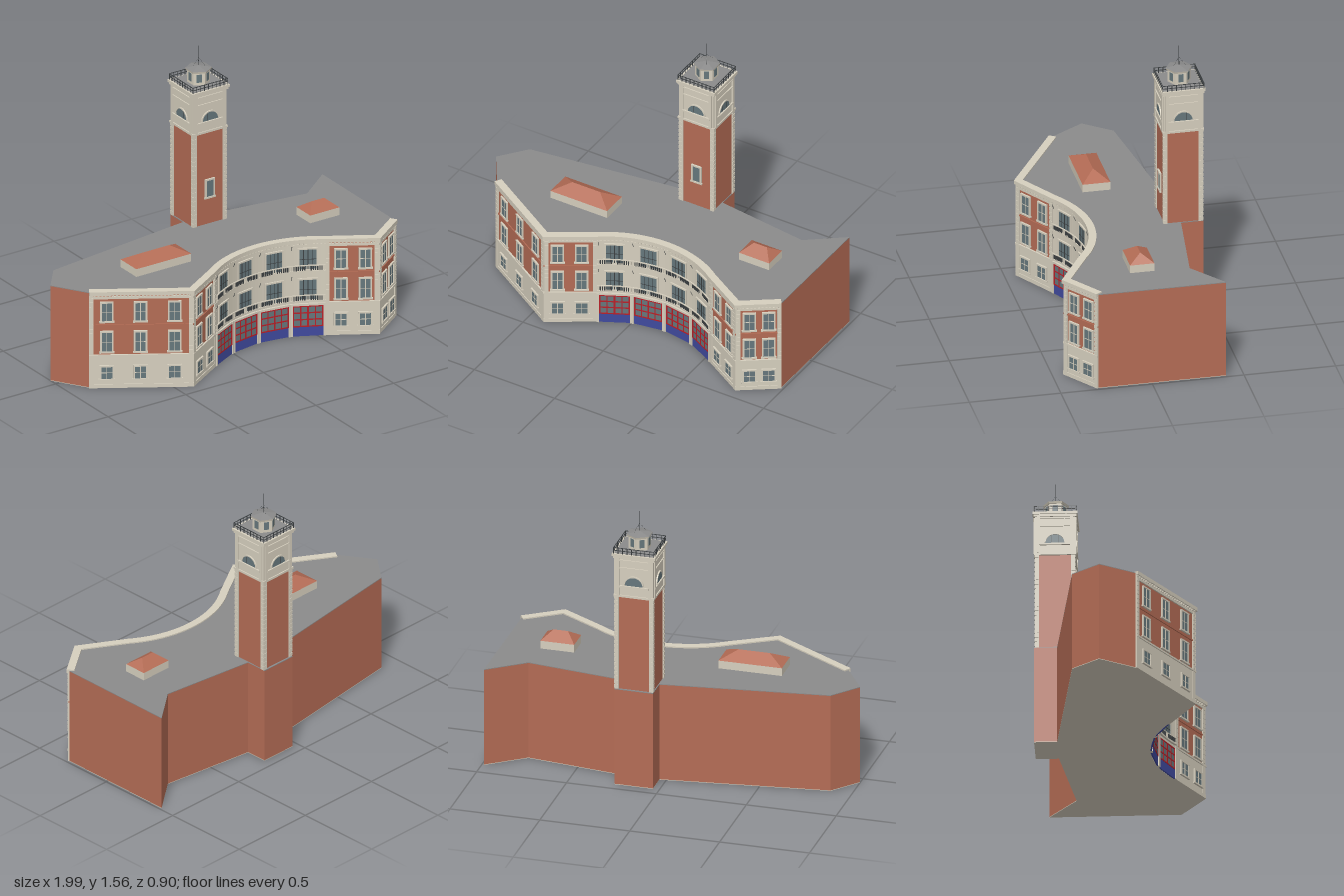
import * as THREE from 'three';

const material = (name, color) => Object.assign(new THREE.MeshStandardMaterial({ color }), { name });
const brick = material('brick', 0xb46c55);
const stone = material('stone', 0xd6cfbe);
const slate = material('roof grey', 0x8b8b8b);
const glass = material('window glass', 0x66777c);
const iron = material('dark iron', 0x3c4042);
const red = material('door red', 0xb82028);
const blue = material('door blue', 0x404a9e);

const WALL_TOP = 0.556;
const ARC = { x: 0.187, z: 0.775, r: 0.605, half: Math.PI / 5 };

function add(parent, name, geometry, mat, x = 0, y = 0, z = 0) {
  const mesh = new THREE.Mesh(geometry, mat);
  mesh.name = name;
  mesh.position.set(x, y, z);
  parent.add(mesh);
  return mesh;
}

// Box given by its horizontal centre and bottom/top heights
const box = (parent, name, mat, w, y0, y1, d, x, z) =>
  add(parent, name, new THREE.BoxGeometry(w, y1 - y0, d), mat, x, (y0 + y1) / 2, z);

// Upright prism over a plan outline of [x, z] points
function prism(parent, name, mat, outline, y0, y1) {
  const shape = new THREE.Shape(outline.map(([x, z]) => new THREE.Vector2(x, -z)));
  const geo = new THREE.ExtrudeGeometry(shape, { depth: y1 - y0, bevelEnabled: false });
  return add(parent, name, geo.rotateX(-Math.PI / 2), mat, 0, y0, 0);
}

// Mitred sideways offset of a plan path (positive is outward)
function offset(path, dist) {
  const normal = (a, b) => {
    const dx = b[0] - a[0], dz = b[1] - a[1], l = Math.hypot(dx, dz);
    return [-dz / l, dx / l];
  };
  return path.map((p, i) => {
    const n = normal(path[Math.max(i - 1, 0)], path[Math.max(i, 1)]);
    const m = i < path.length - 1 ? normal(p, path[i + 1]) : n;
    const k = dist / (1 + n[0] * m[0] + n[1] * m[1]);
    return [p[0] + (n[0] + m[0]) * k, p[1] + (n[1] + m[1]) * k];
  });
}

const band = (parent, name, mat, path, inner, outer, y0, y1) =>
  prism(parent, name, mat, [...offset(path, inner), ...offset(path, outer).reverse()], y0, y1);

const arcPoint = (a, out = 0) => [ARC.x + (ARC.r - out) * Math.sin(a), ARC.z - (ARC.r - out) * Math.cos(a)];

// Group whose x runs along the wall from p to q and whose z points outward
function wallFrame(parent, name, p, q) {
  const g = new THREE.Group();
  g.name = name;
  g.position.set(p[0], 0, p[1]);
  g.rotation.y = Math.atan2(p[1] - q[1], q[0] - p[0]);
  g.userData.length = Math.hypot(q[0] - p[0], q[1] - p[1]);
  parent.add(g);
  return g;
}

// Sash window: glass, stone surround, sill and glazing bars
function sash(parent, x, y0, y1, w, z, cols, rows, bar = stone) {
  const f = 0.009;
  box(parent, 'windowGlass', glass, w, y0, y1, 0.004, x, z + 0.003);
  for (const s of [-1, 1]) box(parent, 'windowJamb', stone, f, y0, y1, 0.01, x + s * (w + f) / 2, z + 0.004);
  box(parent, 'windowHead', stone, w + 2 * f, y1, y1 + f, 0.012, x, z + 0.004);
  box(parent, 'windowSill', stone, w + 3 * f, y0 - f, y0, 0.014, x, z + 0.004);
  for (let i = 1; i < cols; i++)
    box(parent, 'windowMullion', bar, 0.004, y0, y1, 0.005, x + w * (i / cols - 0.5), z + 0.004);
  for (let i = 1; i < rows; i++) {
    const y = y0 + (y1 - y0) * i / rows;
    box(parent, 'glazingBar', bar, w, y - 0.0015, y + 0.0015, 0.005, x, z + 0.004);
  }
}

function dentils(g, length, z) {
  const n = Math.round(length / 0.02);
  for (let i = 0; i < n; i++) box(g, 'dentil', stone, 0.009, 0.536, 0.546, 0.012, (i + 0.5) * length / n, z);
}

// Brick wing front with stone corner piers and three floors of windows
function wing(parent, name, p, q, spots) {
  const g = wallFrame(parent, name, p, q), L = g.userData.length;
  for (const x of [0.011, L - 0.011]) {
    box(g, 'cornerPier', stone, 0.022, 0, 0.545, 0.014, x, 0.001);
    for (let y = 0.2; y < 0.52; y += 0.026)
      box(g, 'quoin', stone, 0.02, y, y + 0.018, 0.014, x, 0.003);
  }
  for (const t of spots) {
    sash(g, t * L, 0.055, 0.125, 0.06, 0.004, 2, 2);
    sash(g, t * L, 0.213, 0.325, 0.054, 0, 2, 2);
    sash(g, t * L, 0.392, 0.497, 0.054, 0, 2, 2);
  }
  dentils(g, L, 0.006);
}

// One bay of the curved front: vehicle door below, two window floors above
function bay(parent, a0, a1) {
  const g = wallFrame(parent, 'curvedBay', arcPoint(a0), arcPoint(a1));
  const L = g.userData.length, mid = L / 2, w = 0.166;
  box(g, 'doorPanel', blue, w, 0, 0.058, 0.008, mid, 0.002);
  box(g, 'doorGlass', glass, w, 0.058, 0.178, 0.008, mid, 0.002);
  for (let i = 0; i <= 4; i++)
    box(g, 'doorUpright', red, i % 2 ? 0.006 : 0.009, 0.055, 0.178, 0.006, mid + (i / 4 - 0.5) * (w - 0.008), 0.005);
  for (const y of [0.054, 0.094, 0.133, 0.171]) box(g, 'doorRail', red, w, y, y + 0.007, 0.006, mid, 0.005);
  box(g, 'doorLintel', stone, L, 0.178, 0.19, 0.012, mid, 0.003);
  for (const x of [0.006, L - 0.006]) box(g, 'doorPier', stone, 0.012, 0, 0.19, 0.016, x, 0.004);
  for (const y of [0.212, 0.39]) {
    sash(g, mid, y, y + 0.116, 0.092, -0.005, 4, 2, iron);
    const pole = add(g, 'flagpole', new THREE.CylinderGeometry(0.0015, 0.0015, 0.03, 5), iron, L * 0.04, y + 0.128, 0.009);
    pole.rotation.x = 0.4;
  }
  dentils(g, L, 0.001);
}

// Shallow curved balcony with railing, following the concave front
function balcony(parent, curve, y) {
  band(parent, 'balconyFloor', stone, curve, -0.005, 0.016, y, y + 0.01);
  band(parent, 'balconyRail', stone, curve, 0.009, 0.015, y + 0.036, y + 0.041);
  for (let i = 0; i < 64; i++) {
    const a = ARC.half * ((i + 0.5) / 32 - 1), [x, z] = arcPoint(a, 0.012);
    const post = i % 8 === 0 || i % 8 === 7;
    box(parent, 'baluster', post ? stone : iron, 0.006, y + 0.01, y + 0.036, 0.005, x, z).rotation.y = -a;
  }
}

// Small roof house with a hipped tile roof
function roofHouse(parent, x0, x1, z0, z1, inset) {
  const g = new THREE.Group(), zm = (z0 + z1) / 2, y = 0.605, top = 0.65;
  g.name = 'roofHouse';
  parent.add(g);
  box(g, 'roofHouseWalls', stone, x1 - x0, 0.55, y, z1 - z0, (x0 + x1) / 2, zm);
  const a = [x0, y, z1], b = [x1, y, z1], c = [x1, y, z0], d = [x0, y, z0];
  const r = [x0 + inset, top, zm], s = [x1 - inset, top, zm];
  const geo = new THREE.BufferGeometry();
  const tris = [a, b, s, a, s, r, b, c, s, c, d, r, c, r, s, d, a, r];
  geo.setAttribute('position', new THREE.Float32BufferAttribute(tris.flat(), 3));
  geo.computeVertexNormals();
  add(g, 'hippedRoof', geo, brick);
}

function tower(parent) {
  const t = new THREE.Group();
  t.name = 'tower';
  t.position.set(0.143, 0, -0.332);
  parent.add(t);
  box(t, 'towerShaft', brick, 0.204, 0.5, 1.11, 0.204, 0, 0);
  box(t, 'belfry', stone, 0.214, 1.1, 1.34, 0.214, 0, 0);
  box(t, 'belfryBase', stone, 0.226, 1.1, 1.112, 0.226, 0, 0);
  box(t, 'towerCornice', stone, 0.228, 1.325, 1.338, 0.228, 0, 0);
  box(t, 'towerCorniceTop', stone, 0.24, 1.338, 1.352, 0.24, 0, 0);
  box(t, 'platform', slate, 0.216, 1.352, 1.356, 0.216, 0, 0);
  for (const sx of [-1, 1]) for (const sz of [-1, 1]) {
    box(t, 'towerCorner', stone, 0.023, 0.558, 1.33, 0.023, sx * 0.096, sz * 0.096);
    for (let y = 0.565; y < 1.09; y += 0.026)
      box(t, 'towerQuoin', stone, 0.021, y, y + 0.018, 0.021, sx * 0.099, sz * 0.099);
  }

  // Four belfry faces with arched lights and platform railing
  const arch = new THREE.Shape().absarc(0, 0, 0.05, 0, Math.PI, false);
  const ring = new THREE.Shape().absarc(0, 0, 0.057, 0, Math.PI, false);
  ring.absarc(0, 0, 0.05, Math.PI, 0, true);
  const plate = (shape, depth) => new THREE.ExtrudeGeometry(shape, { depth, bevelEnabled: false, curveSegments: 16 });
  for (let i = 0; i < 4; i++) {
    const f = new THREE.Group();
    f.name = 'belfryFace';
    f.rotation.y = i * Math.PI / 2;
    t.add(f);
    add(f, 'archGlass', plate(arch, 0.004), glass, 0, 1.17, 0.106);
    add(f, 'archTrim', plate(ring, 0.008), stone, 0, 1.17, 0.106);
    for (const x of [-0.018, 0.018]) box(f, 'archBar', iron, 0.002, 1.17, 1.216, 0.003, x, 0.109);
    box(f, 'archSill', stone, 0.17, 1.158, 1.168, 0.012, 0, 0.11);
    for (const y of [1.268, 1.312]) box(f, 'belfryBand', stone, 0.17, y, y + 0.006, 0.008, 0, 0.109);
    for (const s of [-1, 1]) box(f, 'belfryPilaster', stone, 0.016, 1.112, 1.325, 0.01, s * 0.088, 0.109);
    for (let k = 0; k < 10; k++) box(f, 'railingPost', iron, 0.003, 1.352, 1.386, 0.003, (k / 9 - 0.5) * 0.224, 0.112);
    for (const y of [1.368, 1.384]) box(f, 'railing', iron, 0.226, y, y + 0.003, 0.003, 0, 0.112);
  }
  sash(t, 0, 0.72, 0.815, 0.044, 0.102, 1, 1);

  // Six-sided lantern with shallow roof and mast
  const hex = (name, mat, r0, r1, y0, y1) =>
    add(t, name, new THREE.CylinderGeometry(r1, r0, y1 - y0, 6).toNonIndexed(), mat, 0, (y0 + y1) / 2, 0).geometry.computeVertexNormals();
  hex('lantern', stone, 0.062, 0.062, 1.354, 1.43);
  hex('lanternEaves', stone, 0.068, 0.072, 1.426, 1.437);
  hex('lanternRoof', slate, 0.072, 0.006, 1.437, 1.45);
  for (let i = 0; i < 6; i++) {
    const f = new THREE.Group();
    f.name = 'lanternFace';
    f.rotation.y = (i + 0.5) * Math.PI / 3;
    t.add(f);
    box(f, 'lanternWindow', glass, 0.028, 1.372, 1.418, 0.004, 0, 0.0537);
    if (i % 2) continue;
    const wire = add(f, 'mastStay', new THREE.CylinderGeometry(0.0005, 0.0005, 0.06, 3), iron, 0, 1.474, 0.02);
    wire.rotation.x = -0.73;
  }
  add(t, 'mast', new THREE.CylinderGeometry(0.0012, 0.002, 0.118, 6), iron, 0, 1.505, 0);
}

export function createModel() {
  const model = new THREE.Group();
  model.name = 'fireStation';

  // Plan: two angled wings either side of a concave curved front
  const leftEnd = [-0.879, 0.14], leftTip = [-0.408, 0.431], rightTip = [0.787, 0.431], rightEnd = [0.985, 0.292];
  const curve = Array.from({ length: 33 }, (_, i) => arcPoint(ARC.half * (i / 16 - 1)));
  const arcStart = curve[0], arcEnd = curve[32];
  const front = [leftEnd, leftTip, ...curve, rightTip, rightEnd];
  const plan = [[-1, -0.05], [-0.88, -0.2], [0.036, -0.32], [0.036, -0.444], [0.249, -0.444], [0.249, -0.32],
    [0.785, -0.25], [0.988, -0.405], ...[...front].reverse()];
  prism(model, 'brickBody', brick, plan, 0.003, WALL_TOP);
  prism(model, 'flatRoof', slate, plan, WALL_TOP, 0.56);
  prism(model, 'floor', stone, plan, 0, 0.003);

  // Stone base, string courses and cornice follow the front
  for (const side of [[leftEnd, leftTip, arcStart], [arcEnd, rightTip, rightEnd]]) {
    band(model, 'stoneBase', stone, side, -0.005, 0.004, 0, 0.185);
    band(model, 'plinth', stone, side, -0.005, 0.008, 0, 0.022);
    band(model, 'stringCourse', stone, side, -0.005, 0.01, 0.185, 0.195);
    band(model, 'upperStringCourse', brick, side, -0.005, 0.006, 0.362, 0.37);
  }
  band(model, 'curvedStoneWall', stone, curve, -0.005, 0.003, 0, 0.55);
  band(model, 'frieze', stone, front, -0.005, 0.007, 0.522, 0.536);
  band(model, 'cornice', stone, front, -0.027, 0.015, 0.546, 0.567);
  for (const y of [0.2, 0.375]) balcony(model, curve, y);

  wing(model, 'leftLongWing', leftEnd, leftTip, [0.17, 0.495, 0.825]);
  wing(model, 'leftInnerWing', leftTip, arcStart, [0.25, 0.71]);
  wing(model, 'rightInnerWing', arcEnd, rightTip, [0.29, 0.75]);
  wing(model, 'rightOuterWing', rightTip, rightEnd, [0.29, 0.72]);
  for (let i = 0; i < 4; i++) bay(model, ARC.half * (i / 2 - 1), ARC.half * ((i + 1) / 2 - 1));

  roofHouse(model, -0.56, -0.207, -0.035, 0.117, 0.09);
  roofHouse(model, 0.588, 0.776, -0.06, 0.073, 0.054);
  tower(model);
  return model;
}
